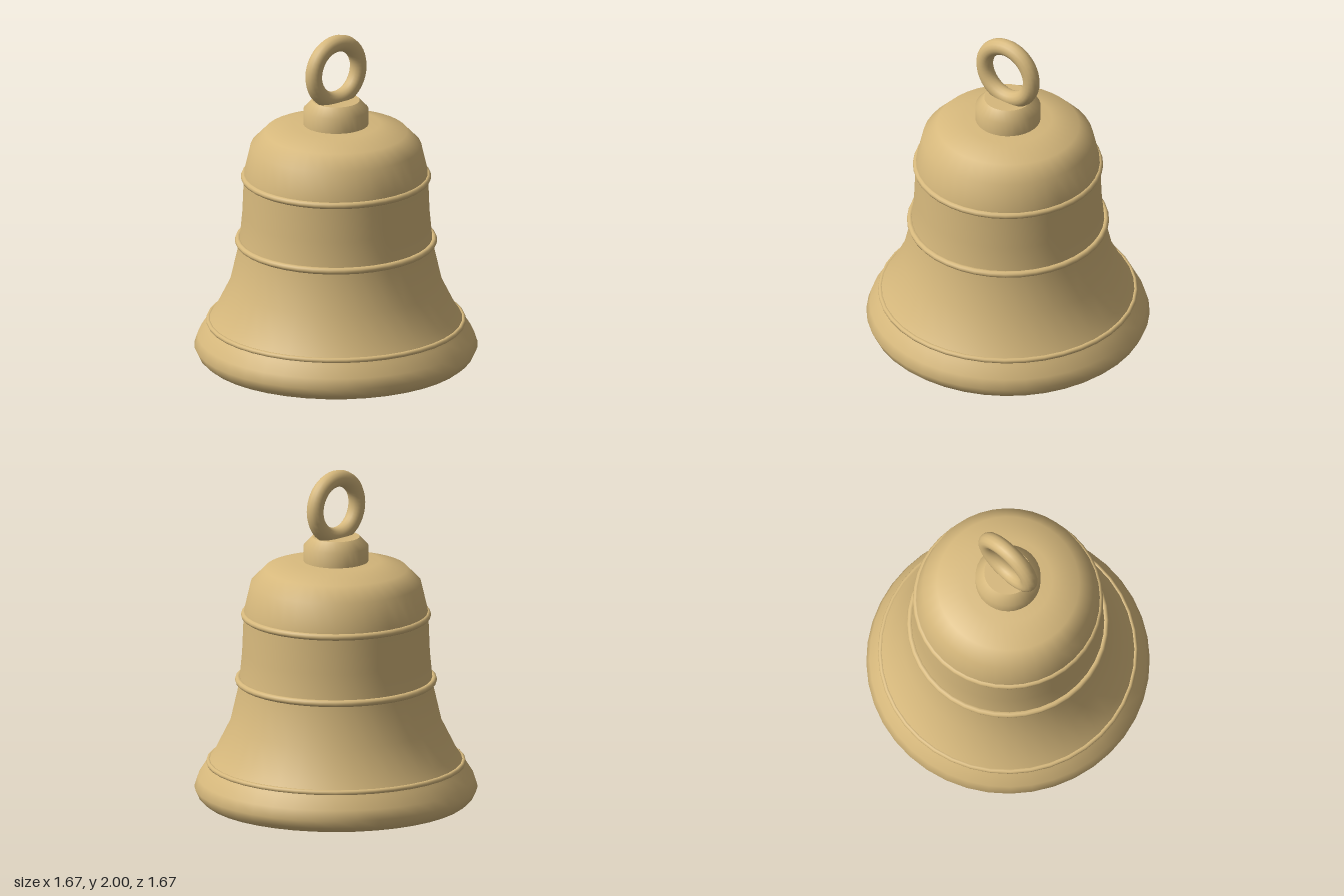
import * as THREE from 'three';

const SEGMENTS = 40;

export function createModel() {
  const model = new THREE.Group();
  model.name = 'bell';
  const brass = new THREE.MeshStandardMaterial({ color: 0xd6b87c });
  brass.name = 'brass';

  const add = (name, geometry, y = 0) => {
    const mesh = new THREE.Mesh(geometry, brass);
    mesh.name = name;
    mesh.position.y = y;
    model.add(mesh);
    return mesh;
  };
  const lathe = (points, segments = SEGMENTS) =>
    new THREE.LatheGeometry(points.map(([r, y]) => new THREE.Vector2(r, y)), segments);

  // Flared outer wall and domed shoulder
  add('outerWall', lathe([
    [0.79, 0.01], [0.812, 0.03], [0.835, 0.08], [0.815, 0.14], [0.77, 0.21],
    [0.715, 0.29], [0.625, 0.47], [0.572, 0.7], [0.553, 0.9], [0.545, 1.1],
    [0.54, 1.16], [0.503, 1.32], [0.42, 1.405], [0.26, 1.453], [0, 1.455],
  ]));

  // Rounded lip joining the inner and outer walls
  add('lip', lathe([[0.74, 0.04], [0.746, 0.015], [0.76, 0.002], [0.78, 0.002], [0.79, 0.01]]));

  // Hollow interior, running from the crown down to the lip
  add('innerWall', lathe([
    [0, 1.39], [0.25, 1.385], [0.38, 1.35], [0.45, 1.28], [0.48, 1.15],
    [0.49, 0.95], [0.512, 0.7], [0.565, 0.47], [0.655, 0.26], [0.72, 0.12], [0.74, 0.04],
  ]));

  // Raised bands: height, ring radius, tube radius
  [['upperBand', 1.125, 0.541, 0.02],
   ['middleBand', 0.73, 0.576, 0.02],
   ['lowerBand', 0.232, 0.75, 0.016]].forEach(([name, y, radius, tube]) => {
    add(name, new THREE.TorusGeometry(radius, tube, 10, SEGMENTS).rotateX(Math.PI / 2), y);
  });

  // Crown block with chamfered top
  add('crown', lathe([[0.192, 1.44], [0.192, 1.545], [0.14, 1.6]], 32));
  add('crownTop', new THREE.CircleGeometry(0.14, 32).rotateX(-Math.PI / 2), 1.6);

  // Hanging loop
  add('loop', new THREE.TorusGeometry(0.173, 0.05, 14, 40), 1.777);

  // Clapper
  add('clapperRod', new THREE.CylinderGeometry(0.025, 0.025, 1.16, 12), 0.82);
  add('clapperBall', new THREE.SphereGeometry(0.1, 12, 8), 0.22);

  return model;
}
